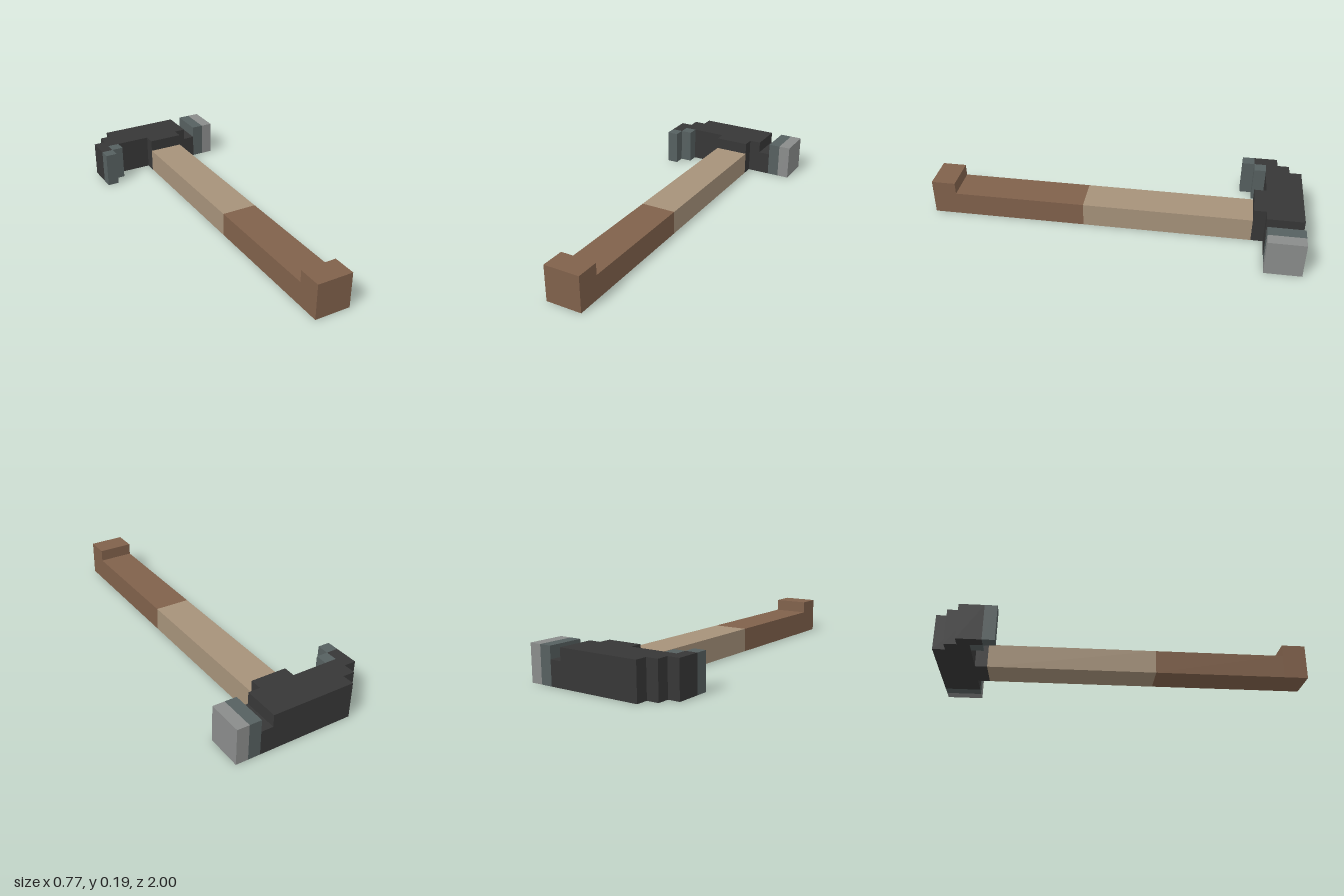
import * as THREE from 'three';

const U = 2 / 31; // size of one block: the model is 12 x 3 x 31 blocks

export function createModel() {
  const group = new THREE.Group();
  group.name = 'hammer';

  const material = (name, color) => {
    const m = new THREE.MeshStandardMaterial({ color });
    m.name = name;
    return m;
  };
  const iron = material('dark iron', 0x373737);
  const slate = material('worn slate steel', 0x566060);
  const steel = material('polished steel', 0x8a8c8b);
  const lightWood = material('light wood', 0xa6927a);
  const darkWood = material('dark wood', 0x80614b);

  // Block between two corners, given in block units
  const block = (name, mat, [x0, x1], [y0, y1], [z0, z1], parent = group) => {
    const geo = new THREE.BoxGeometry((x1 - x0) * U, (y1 - y0) * U, (z1 - z0) * U);
    geo.translate(((x0 + x1) / 2) * U, ((y0 + y1) / 2) * U, ((z0 + z1) / 2) * U);
    const mesh = new THREE.Mesh(geo, mat);
    mesh.name = name;
    parent.add(mesh);
  };

  // Handle with a raised butt at the front end
  const handle = new THREE.Group();
  handle.name = 'handle';
  group.add(handle);
  block('handleShaft', lightWood, [-1, 2], [0, 2], [-11.5, 2.5], handle);
  block('handleGrip', darkWood, [-1, 2], [0, 2], [2.5, 13.5], handle);
  block('handleButt', darkWood, [-1, 2], [0, 3], [13.5, 15.5], handle);

  // Head, collar around the handle, and notched neck
  const head = new THREE.Group();
  head.name = 'head';
  group.add(head);
  block('headBody', iron, [-4, 3], [0, 3], [-15.5, -12.5], head);
  block('collar', iron, [-1, 2], [0, 3], [-12.5, -11.5], head);
  block('neck', iron, [3, 4], [0, 2], [-15.5, -12.5], head);

  // Striking face
  block('faceBase', slate, [4, 5], [0, 3], [-15.5, -12.5], head);
  block('strikingFace', steel, [5, 6], [0, 3], [-15.5, -12.5], head);

  // Claw steps outwards and forwards, with worn tips
  for (const [i, name] of ['innerClaw', 'outerClaw'].entries()) {
    const x = [-5 - i, -4 - i];
    const z = -14.5 + i;
    block(name, iron, x, [0, 3], [z, z + 2], head);
    block(name + 'Tip', slate, x, [0, 3], [z + 2, z + 3], head);
  }

  return group;
}
